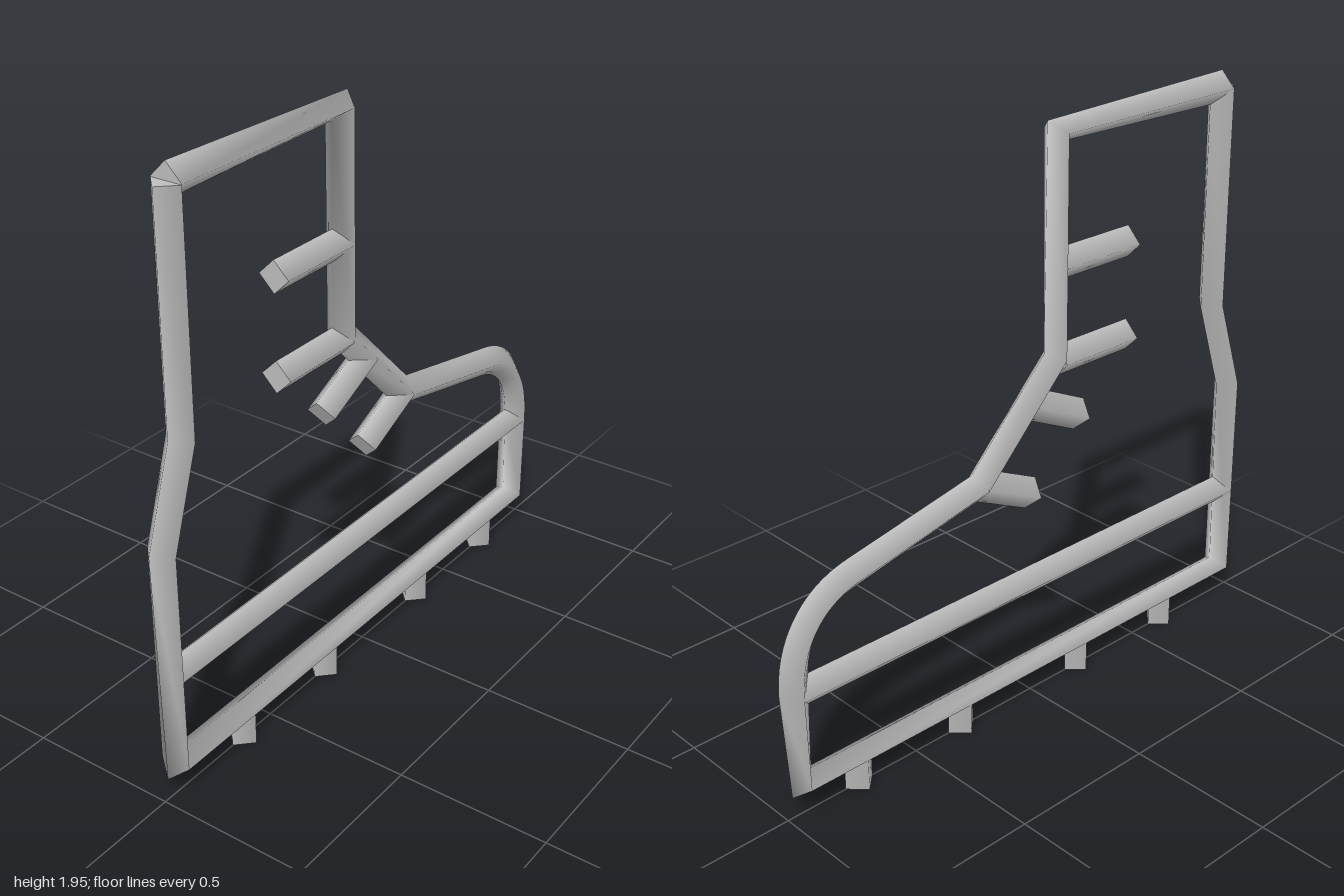
import * as THREE from 'three';

const R = 0.0525; // half diagonal of the diamond-shaped bar

// Sweeps a diamond section along a flat path; sections at bends face the bisector.
function barGeometry(points) {
  const pos = [], nor = [], idx = [];
  const last = points.length - 1;
  const dir = (a, b) => points[b].clone().sub(points[a]).normalize();
  const rings = points.map((p, i) => {
    const t = new THREE.Vector2();
    if (i > 0) t.add(dir(i - 1, i));
    if (i < last) t.add(dir(i, i + 1));
    t.normalize();
    const sides = [[-t.y, t.x, 0], [0, 0, 1], [t.y, -t.x, 0], [0, 0, -1]];
    return { p, t, sides };
  });
  const addRing = ({ p, sides }, normal) => {
    for (const s of sides) {
      pos.push(p.x + s[0] * R, p.y + s[1] * R, s[2] * R);
      nor.push(...(normal || s));
    }
  };
  rings.forEach((ring) => addRing(ring));
  for (let i = 0; i < last; i++) {
    for (let k = 0; k < 4; k++) {
      const a = i * 4 + k, b = i * 4 + (k + 1) % 4;
      idx.push(a, b, a + 4, b, b + 4, a + 4);
    }
  }
  // flat end caps
  const s = rings.length * 4, e = s + 4;
  const t0 = rings[0].t, t1 = rings[last].t;
  addRing(rings[0], [-t0.x, -t0.y, 0]);
  addRing(rings[last], [t1.x, t1.y, 0]);
  idx.push(s, s + 2, s + 1, s, s + 3, s + 2, e, e + 1, e + 2, e, e + 2, e + 3);

  const g = new THREE.BufferGeometry();
  g.setAttribute('position', new THREE.Float32BufferAttribute(pos, 3));
  g.setAttribute('normal', new THREE.Float32BufferAttribute(nor, 3));
  g.setIndex(idx);
  return g;
}

export function createModel() {
  const model = new THREE.Group();
  model.name = 'bootOutline';
  const grey = new THREE.MeshStandardMaterial({ color: 0xbfbfbf });
  grey.name = 'light grey';
  const v = (x, y) => new THREE.Vector2(x, y);
  const addBar = (name, points) => {
    const mesh = new THREE.Mesh(barGeometry(points), grey);
    mesh.name = name;
    model.add(mesh);
  };

  // boot silhouette: down the heel, along the sole, round the toe, up the front
  const toe = new THREE.CubicBezierCurve(
    v(0.9475, 0.44), v(0.9475, 0.6), v(0.87, 0.71), v(0.73, 0.74));
  addBar('bootFrame', [
    v(-0.845, 1.895), v(-0.845, 1.16), v(-0.9475, 0.845), v(-0.945, 0.108), v(0.942, 0.108),
    ...toe.getPoints(16),
    v(0.22, 0.845), v(-0.108, 1.18), v(-0.108, 1.895), v(-0.845, 1.897),
  ]);

  // line between sole and upper
  addBar('soleLine', [v(-0.945, 0.425), v(0.945, 0.425)]);

  // lace bars
  const laces = [
    [-0.425, 1.48, -0.11, 1.48],
    [-0.425, 1.165, -0.11, 1.165],
    [-0.213, 0.95, 0.01, 1.057],
    [0, 0.743, 0.22, 0.848],
  ];
  laces.forEach(([x0, y0, x1, y1], i) => addBar(`laceBar${i + 1}`, [v(x0, y0), v(x1, y1)]));

  // sole studs
  [-0.635, -0.215, 0.31, 0.73].forEach((x, i) => addBar(`stud${i + 1}`, [v(x, 0), v(x, 0.108)]));

  return model;
}
